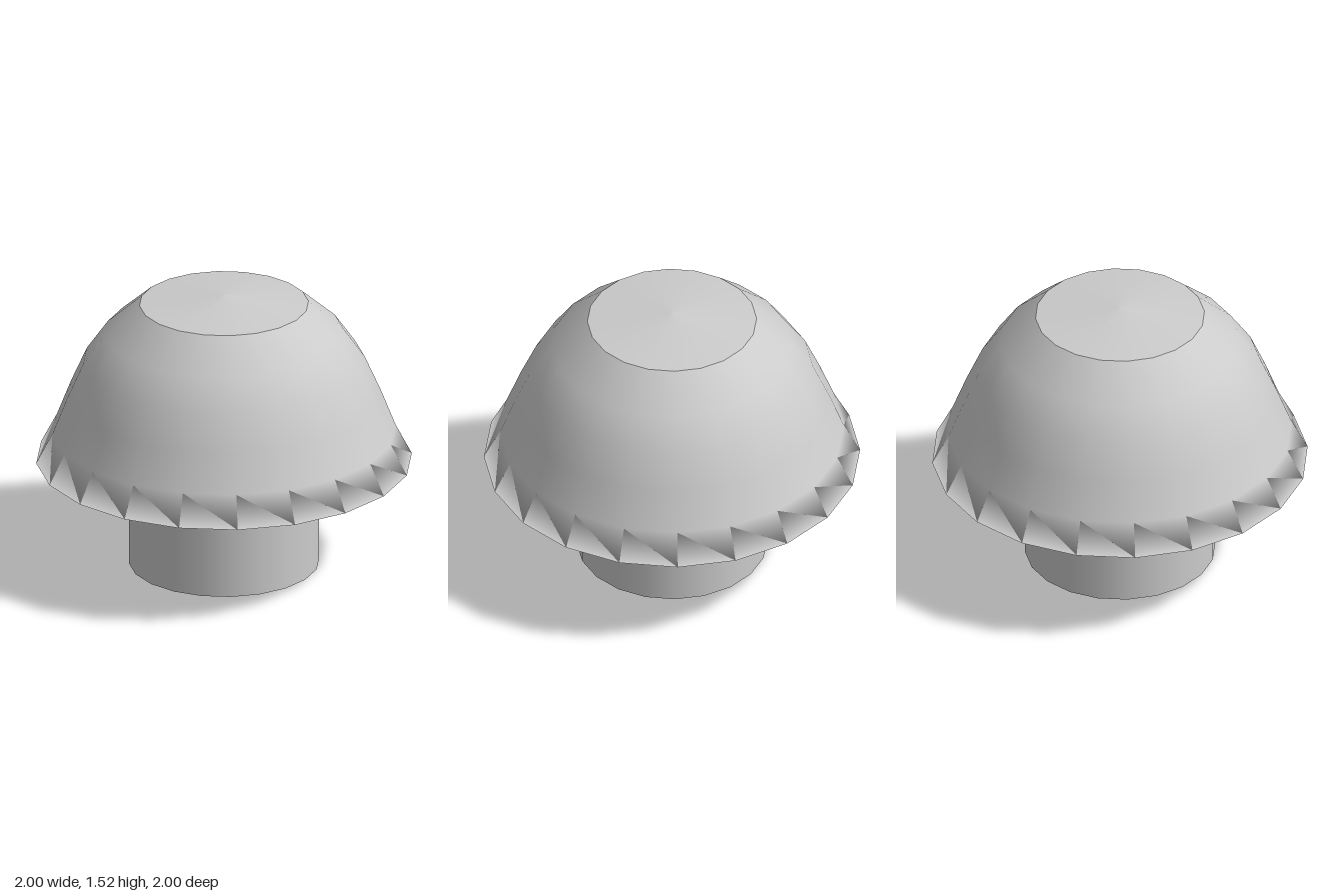
import * as THREE from 'three';

const SIDES = 20;

// Smooth 20-sided turned surface from [radius, height] pairs, listed bottom to top
function turned(name, profile) {
  const points = profile.map(([r, y]) => new THREE.Vector2(r, y));
  const material = new THREE.MeshStandardMaterial({ color: 0xcccccc, side: THREE.DoubleSide });
  const mesh = new THREE.Mesh(new THREE.LatheGeometry(points, SIDES), material);
  mesh.name = name;
  return mesh;
}

export function createModel() {
  const mushroom = new THREE.Group();
  mushroom.name = 'mushroom';

  // Stem: straight column with a flat foot, rising into the hollow of the cap
  mushroom.add(turned('stem', [[0.507, 0], [0.507, 0.82]]));
  mushroom.add(turned('stemFoot', [[0, 0], [0.507, 0]]));

  // Cap: hollow underside, rounded-over rim and domed wall in one smooth surface
  mushroom.add(turned('cap', [
    [0.507, 0.82],
    [1.0, 0.588],
    [0.914, 0.754],
    [0.835, 0.957],
    [0.75, 1.15],
    [0.635, 1.315],
    [0.45, 1.478],
  ]));

  // Shallow cone closing the top of the cap, with a sharp edge
  mushroom.add(turned('capTop', [[0.45, 1.478], [0, 1.525]]));

  return mushroom;
}
